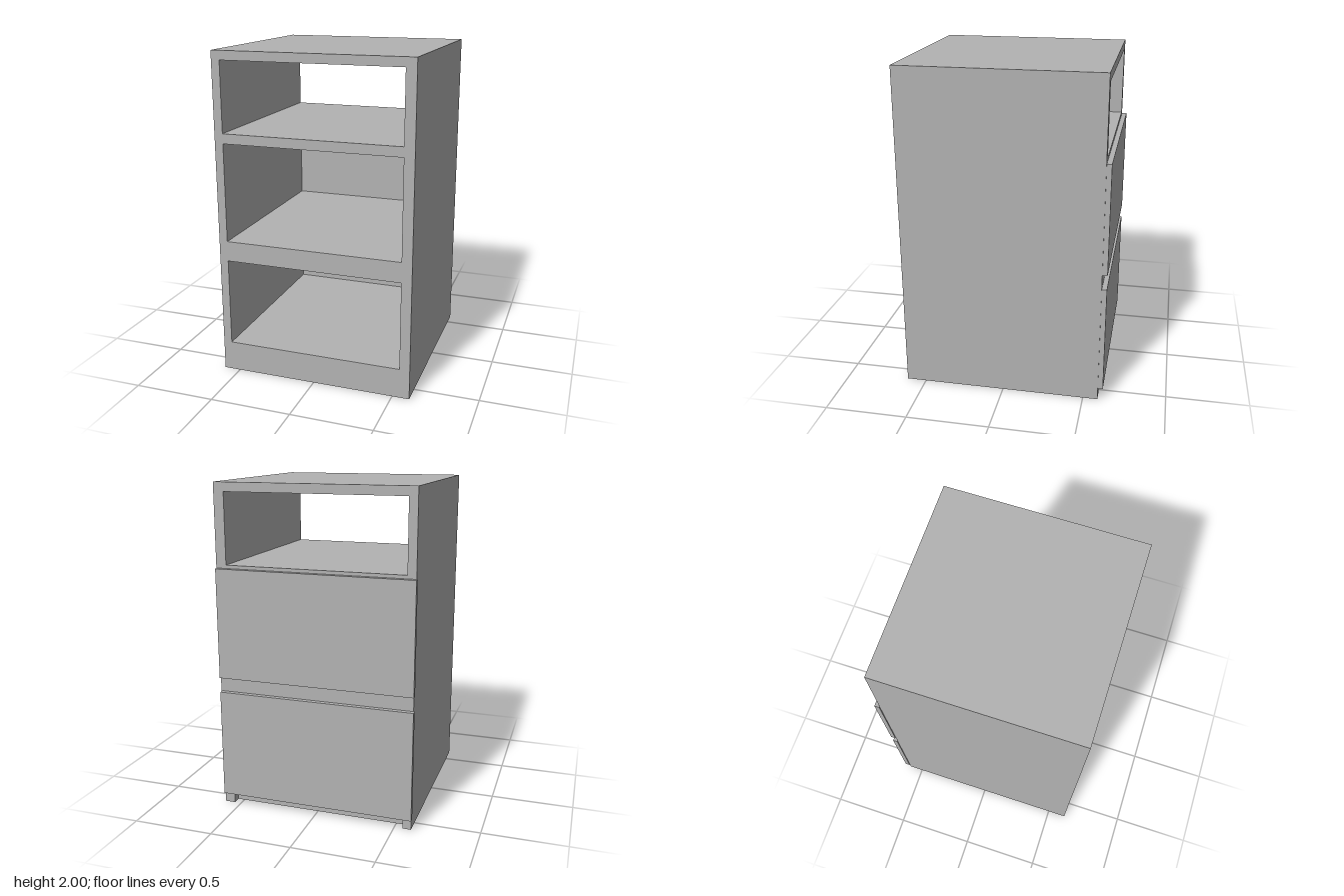
import * as THREE from 'three';

const LEFT = -0.602, RIGHT = 0.605, BACK = -0.59, FRONT = 0.62;
const INNER_L = -0.55, INNER_R = 0.542;

export function createModel() {
  const group = new THREE.Group();
  group.name = 'cabinet';
  const grey = new THREE.MeshStandardMaterial({ color: 0xb3b3b3 });
  grey.name = 'grey';

  const add = (name, geometry) => {
    const mesh = new THREE.Mesh(geometry, grey);
    mesh.name = name;
    group.add(mesh);
  };
  // Box given by its low and high corners
  const box = (name, x0, x1, y0, y1, z0, z1) => {
    const g = new THREE.BoxGeometry(x1 - x0, y1 - y0, z1 - z0);
    g.translate((x0 + x1) / 2, (y0 + y1) / 2, (z0 + z1) / 2);
    add(name, g);
  };

  // Carcass: sides, shelves and top, with support cleats stepping into the open base
  const cleat = 0.055;
  const outline = [
    [LEFT, 0], [INNER_L, 0], [INNER_L, 0.08], [INNER_L + cleat, 0.08], [INNER_L + cleat, 0.125],
    [INNER_R - cleat, 0.125], [INNER_R - cleat, 0.08], [INNER_R, 0.08], [INNER_R, 0],
    [RIGHT, 0], [RIGHT, 2], [LEFT, 2],
  ];
  const shape = new THREE.Shape(outline.map(([x, y]) => new THREE.Vector2(x, y)));
  for (const [y0, y1] of [[0.185, 0.73], [0.855, 1.46], [1.52, 1.945]]) {
    shape.holes.push(new THREE.Path([
      new THREE.Vector2(INNER_L, y0), new THREE.Vector2(INNER_L, y1),
      new THREE.Vector2(INNER_R, y1), new THREE.Vector2(INNER_R, y0),
    ]));
  }
  const carcass = new THREE.ExtrudeGeometry(shape, { depth: FRONT - BACK, bevelEnabled: false });
  carcass.translate(0, 0, BACK);
  add('carcass', carcass);

  // Plinth boards closing the base: flush at the front, set back at the rear
  box('frontPlinth', INNER_L, INNER_R, 0, 0.125, FRONT - 0.06, FRONT);
  box('rearPlinth', INNER_L, INNER_R, 0, 0.125, BACK + 0.05, BACK + 0.07);

  // Panels covering the two lower openings at the back
  box('lowerBackPanel', -0.608, 0.598, 0.07, 0.74, -0.62, BACK);
  box('upperBackPanel', -0.608, 0.598, 0.83, 1.5, -0.62, BACK);

  return group;
}
